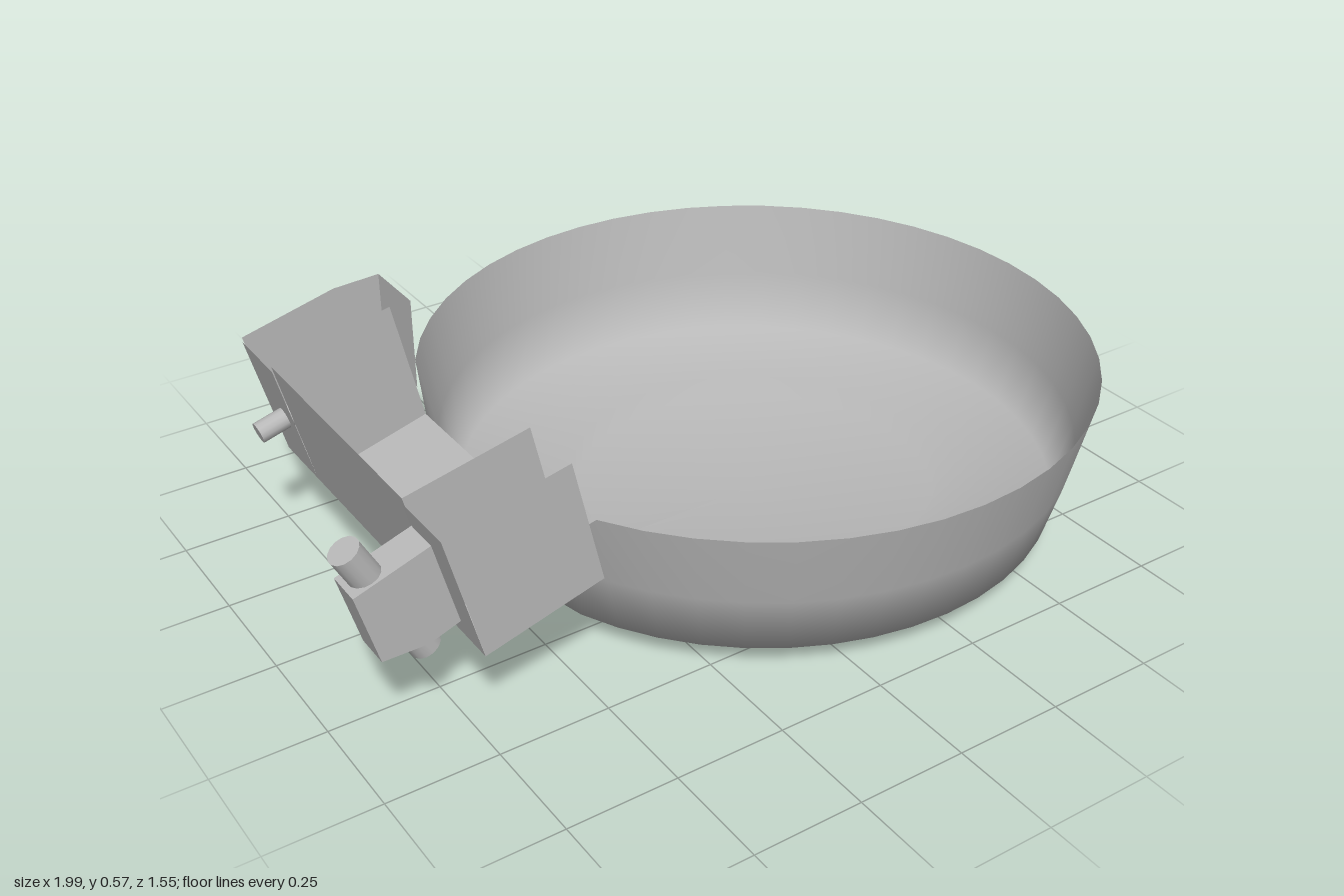
import * as THREE from 'three';

const grey = new THREE.MeshStandardMaterial({ color: 0xb8b8b8, side: THREE.DoubleSide });
grey.name = 'grey';
const greyOneSided = new THREE.MeshStandardMaterial({ color: 0xb8b8b8 });
greyOneSided.name = 'grey single sided';

function add(group, name, geometry, material = grey) {
  const mesh = new THREE.Mesh(geometry, material);
  mesh.name = name;
  group.add(mesh);
  return mesh;
}

// Flat plate lying in an xy profile, facing +z (or -z when flipped)
function profilePlate(points, z, flip = false) {
  const shape = new THREE.Shape(points.map(([x, y]) => new THREE.Vector2(flip ? -x : x, y)));
  const geometry = new THREE.ShapeGeometry(shape);
  if (flip) geometry.rotateY(Math.PI);
  return geometry.translate(0, 0, z);
}

// Open sheet swept along z between two profile points
function sheet([x0, y0], [x1, y1], z0, z1) {
  const geometry = new THREE.BufferGeometry();
  geometry.setAttribute('position', new THREE.Float32BufferAttribute(
    [x0, y0, z0, x1, y1, z0, x1, y1, z1, x0, y0, z1], 3));
  geometry.setIndex([0, 1, 2, 0, 2, 3]);
  geometry.computeVertexNormals();
  return geometry;
}

// Round rod between two points
function rod(from, to, radius) {
  const a = new THREE.Vector3(...from), b = new THREE.Vector3(...to);
  const axis = b.clone().sub(a);
  const geometry = new THREE.CylinderGeometry(radius, radius, axis.length(), 14);
  geometry.applyQuaternion(new THREE.Quaternion().setFromUnitVectors(
    new THREE.Vector3(0, 1, 0), axis.normalize()));
  const mid = a.add(b).multiplyScalar(0.5);
  return geometry.translate(mid.x, mid.y, mid.z);
}

export function createModel() {
  const model = new THREE.Group();
  model.name = 'bowlWithBracket';

  // Bowl with a stepped foot, cut flat on the bracket side
  const profile = [[0, 0], [0.43, 0], [0.43, 0.055], [0.695, 0.055], [0.735, 0.2], [0.775, 0.375]];
  const bowl = new THREE.LatheGeometry(
    profile.map(([r, y]) => new THREE.Vector2(r, y)), 48, -Math.PI / 2);
  bowl.translate(0.222, 0, 0);
  const pos = bowl.attributes.position;
  for (let i = 0; i < pos.count; i++) {
    const y = pos.getY(i), z = pos.getZ(i);
    const limit = y < 0.1 ? -0.44 : -0.475;
    if (pos.getX(i) < limit) {
      pos.setX(i, limit);
      // Lowered lip where the trough meets the bowl
      if (y > 0.3 && Math.abs(z) < 0.31) pos.setY(i, 0.285);
    }
  }
  bowl.computeVertexNormals();
  add(model, 'bowl', bowl);

  // Tilted trough: back wall and floor running between the end brackets
  const A = [-0.82, 0.515], B = [-0.54, 0.575], C = [-0.475, 0.285], D = [-0.745, 0.21];
  const trough = new THREE.Group();
  trough.name = 'trough';
  model.add(trough);
  add(trough, 'troughWall', sheet(A, D, -0.3, 0.3));
  add(trough, 'troughFloor', sheet(D, C, -0.3, 0.3));

  // End brackets: open boxes at both ends of the trough
  const outline = [D, C, [-0.49, 0.38], [-0.49, 0.575], [-0.6, 0.57], A];
  for (const side of [1, -1]) {
    const bracket = new THREE.Group();
    bracket.name = side > 0 ? 'frontBracket' : 'rearBracket';
    model.add(bracket);
    const z0 = Math.min(0.3 * side, 0.455 * side), z1 = z0 + 0.155;
    add(bracket, 'bracketWall', sheet([-0.82, 0.503], D, z0, z1));
    add(bracket, 'bracketFloor', sheet(D, C, z0, z1));
    add(bracket, 'bracketEnd', profilePlate(side > 0 ? [D, C, B, A] : outline, 0.455 * side, side < 0));
    add(bracket, 'bracketInnerPlate', profilePlate([D, C, B, A], 0.3 * side), greyOneSided);
    // Upright cheek beside the bowl
    const low = [-0.49, 0.36], high = [-0.49, 0.575];
    add(bracket, 'bracketCheek',
      side > 0 ? sheet(low, high, z0, z1) : sheet(high, low, z0, z1), greyOneSided);
  }

  // Latch: block and pin on the front bracket, small stub on the rear one
  const latchShape = new THREE.Shape([
    [-0.975, 0.4], [-0.93, 0.235], [-0.83, 0.235], [-0.76, 0.26], [-0.81, 0.455],
  ].map(([x, y]) => new THREE.Vector2(x, y)));
  const latch = new THREE.ExtrudeGeometry(latchShape, { depth: 0.08, bevelEnabled: false });
  add(model, 'latchBlock', latch.translate(0, 0, 0.31));
  add(model, 'latchPin', rod([-0.967, 0.482, 0.35], [-0.82, 0.205, 0.35], 0.034));
  add(model, 'rearStub', rod([-0.845, 0.33, -0.36], [-0.74, 0.36, -0.36], 0.024));

  return model;
}
